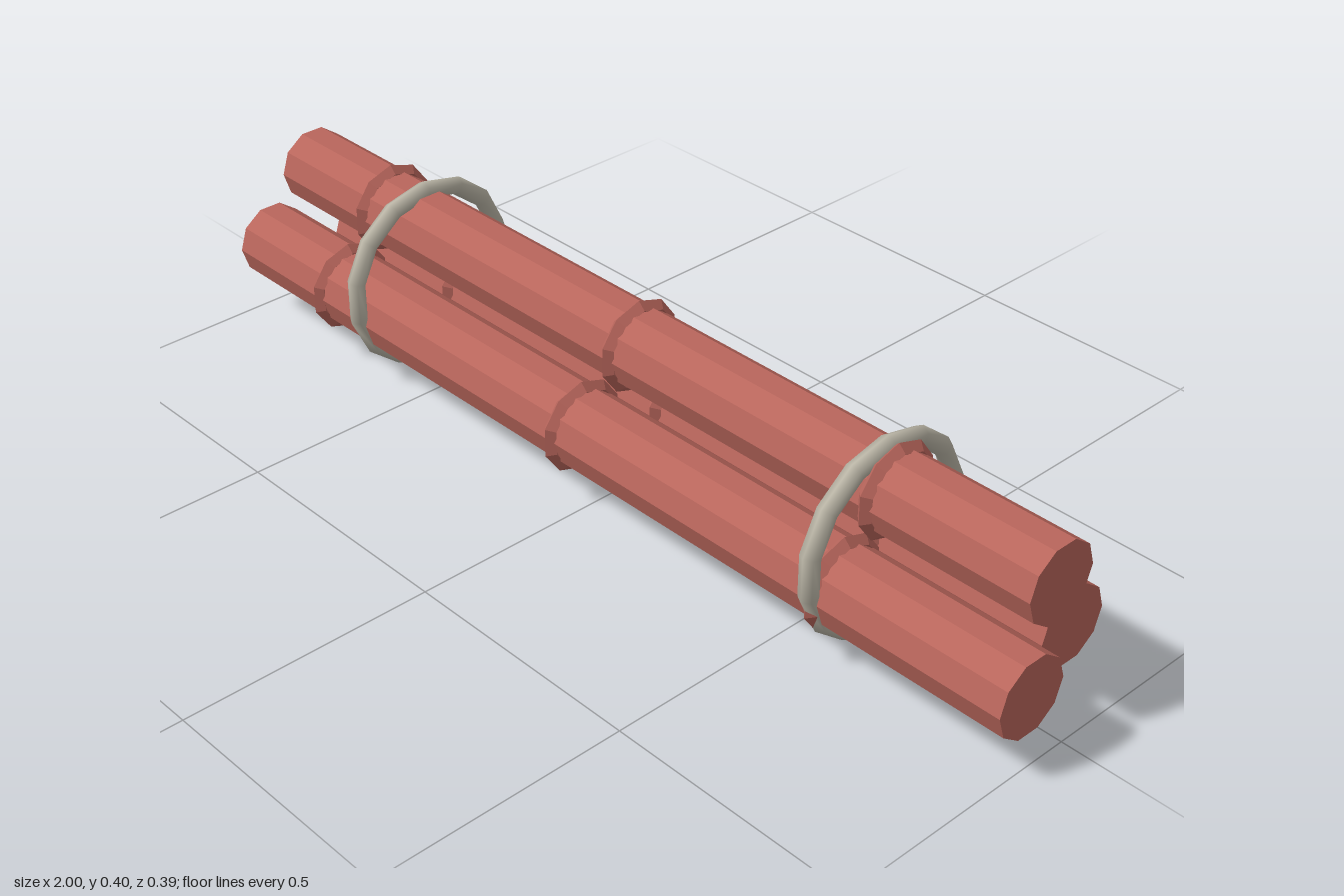
import * as THREE from 'three';

const redPaint = new THREE.MeshStandardMaterial({ color: 0xb9665c });
redPaint.name = 'redPaint';
const paleBinding = new THREE.MeshStandardMaterial({ color: 0xbab5a6 });
paleBinding.name = 'paleBinding';

// Faceted normals for the low-poly parts
function faceted(geometry) {
  const flat = geometry.toNonIndexed();
  flat.computeVertexNormals();
  return flat;
}

// Torus around the x axis with one corner at the top
function ringAroundX(radius, tube, tubeSides, sides) {
  return new THREE.TorusGeometry(radius, tube, tubeSides, sides)
    .rotateZ(Math.PI / 2)
    .rotateY(Math.PI / 2);
}

// Each pole: centre, half length and the positions of its collars
const poles = [
  { name: 'topPole', y: 0.3, z: 0, half: 0.965, collars: [-0.705, 0.008, 0.623] },
  { name: 'frontPole', y: 0.147, z: 0.094, half: 1, collars: [-0.735, -0.043, 0.6] },
  { name: 'backPole', y: 0.147, z: -0.094, half: 0.93, collars: [-0.567, 0.03, 0.563] },
];

export function createModel() {
  const model = new THREE.Group();
  model.name = 'poleBundle';

  const add = (parent, name, geometry, material, x = 0, y = 0, z = 0) => {
    const mesh = new THREE.Mesh(geometry, material);
    mesh.name = name;
    mesh.position.set(x, y, z);
    parent.add(mesh);
  };

  // Three ten-sided poles with sharp-edged collars
  const collarGeometry = faceted(ringAroundX(0.0775, 0.015, 4, 10));
  for (const { name, y, z, half, collars } of poles) {
    const pole = new THREE.Group();
    pole.name = name;
    pole.position.set(0, y, z);
    const shaft = new THREE.CylinderGeometry(0.077, 0.077, 2 * half, 10).rotateZ(Math.PI / 2);
    add(pole, 'shaft', faceted(shaft), redPaint);
    for (const x of collars) add(pole, 'collar', collarGeometry, redPaint, x);
    model.add(pole);
  }

  // Two smooth rings binding the bundle
  const bindingGeometry = ringAroundX(0.179, 0.0185, 6, 14);
  for (const x of [-0.6, 0.6]) add(model, 'bindingRing', bindingGeometry, paleBinding, x, 0.2);

  return model;
}
